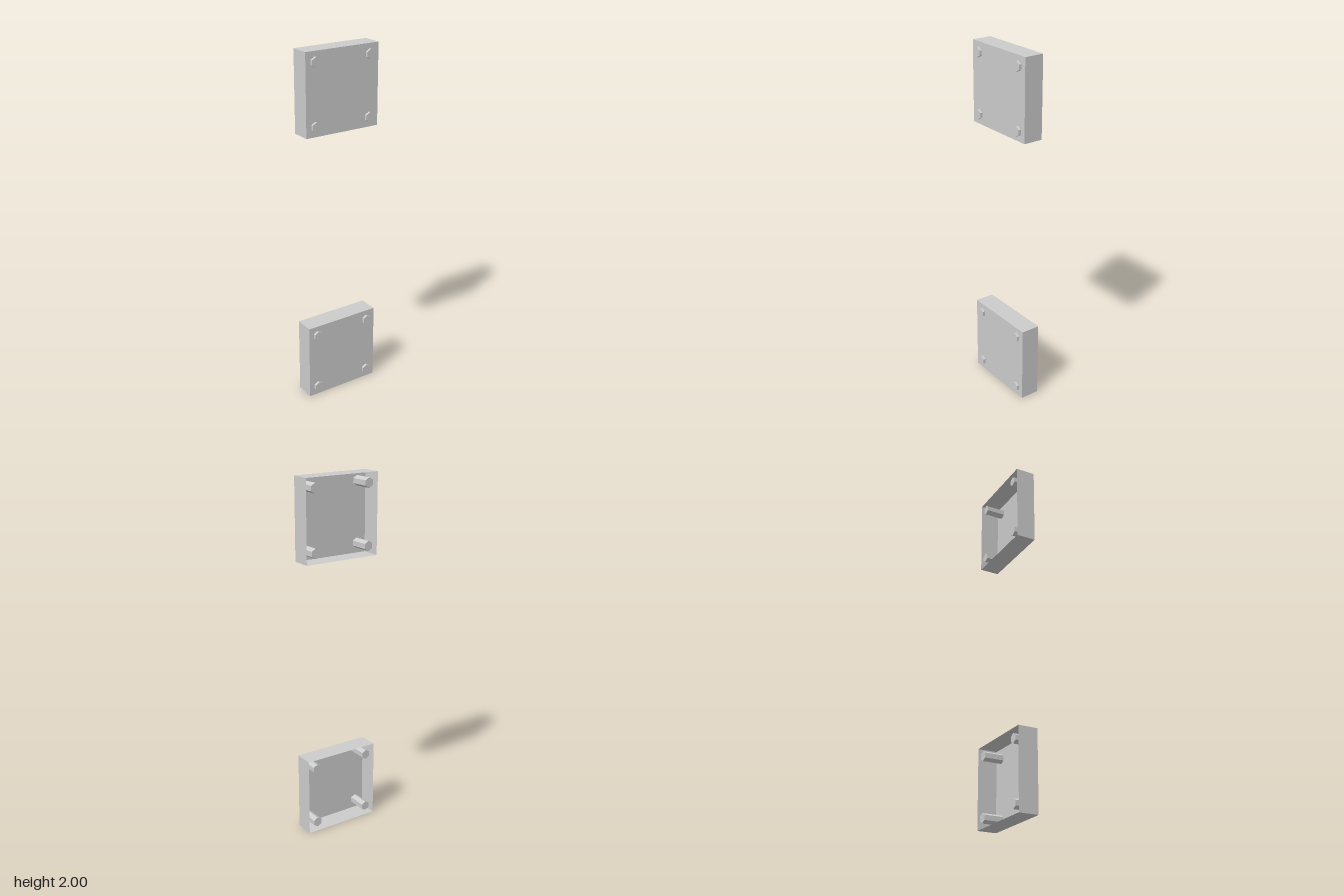
import * as THREE from 'three';

const SIZE = 0.444, BACK = -0.062, FRONT = 0.048, BOLT_FRONT = 0.062;
const DEPTH = FRONT - BACK, HALF = SIZE / 2;

const shellMaterial = new THREE.MeshStandardMaterial({ color: 0xcccccc, flatShading: true, side: THREE.DoubleSide });
const boltMaterial = new THREE.MeshStandardMaterial({ color: 0xcccccc, flatShading: true });

// Thin square tray, open at the back
function createTray() {
  const tray = new THREE.Group();
  tray.name = 'tray';
  const face = new THREE.Mesh(new THREE.PlaneGeometry(SIZE, SIZE), shellMaterial);
  face.name = 'frontFace';
  face.position.z = FRONT;
  tray.add(face);
  ['topWall', 'rightWall', 'bottomWall', 'leftWall'].forEach((name, i) => {
    const geometry = new THREE.PlaneGeometry(SIZE, DEPTH)
      .rotateX(-Math.PI / 2)
      .translate(0, HALF, (FRONT + BACK) / 2)
      .rotateZ(i * Math.PI / 2);
    const wall = new THREE.Mesh(geometry, shellMaterial);
    wall.name = name;
    tray.add(wall);
  });
  return tray;
}

// Hexagonal bolt running through the front face to the open back
function createBolt(x, y) {
  const geometry = new THREE.CylinderGeometry(0.0275, 0.0275, BOLT_FRONT - BACK, 6).rotateX(Math.PI / 2);
  const bolt = new THREE.Mesh(geometry, boltMaterial);
  bolt.name = 'hexBolt';
  bolt.position.set(x, y, (BOLT_FRONT + BACK) / 2);
  return bolt;
}

function createPlate(name, y) {
  const plate = new THREE.Group();
  plate.name = name;
  plate.position.y = y;
  plate.add(createTray());
  for (const sx of [-1, 1])
    for (const sy of [-1, 1]) plate.add(createBolt(sx * 0.167, sy * 0.167));
  return plate;
}

export function createModel() {
  const model = new THREE.Group();
  model.name = 'boltedPlates';
  model.add(createPlate('lowerPlate', HALF), createPlate('upperPlate', 2 - HALF));
  return model;
}
